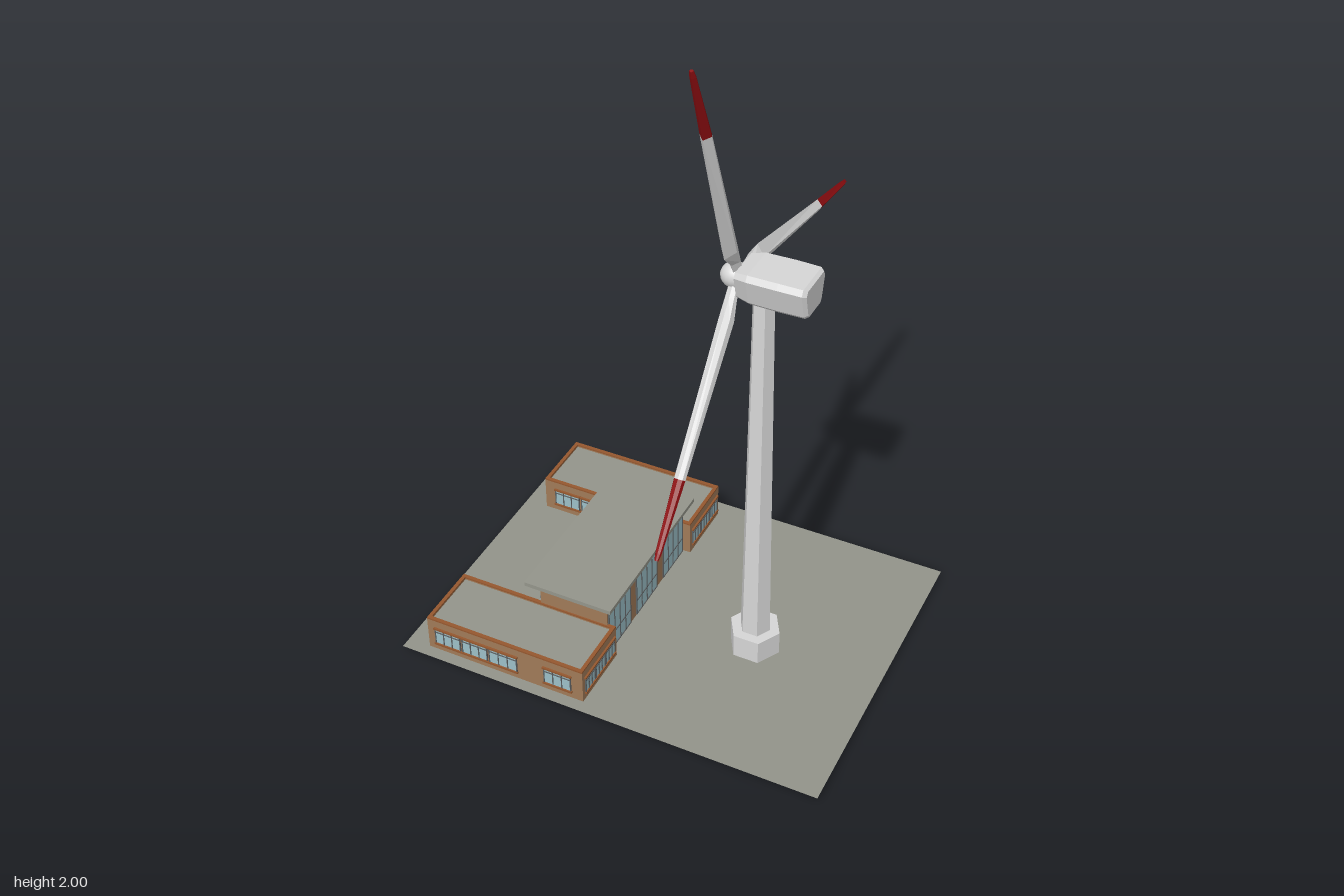
import * as THREE from 'three';

const mat = (name, color, side = THREE.FrontSide) => {
  const m = new THREE.MeshStandardMaterial({ color, side });
  m.name = name;
  return m;
};

// Flat-shaded loft through equal-length loops of points, capped at both ends
function loft(loops) {
  const tris = [];
  const n = loops[0].length;
  for (let i = 0; i < loops.length - 1; i++) {
    for (let j = 0; j < n; j++) {
      const k = (j + 1) % n;
      const [a, b, c, d] = [loops[i][j], loops[i][k], loops[i + 1][k], loops[i + 1][j]];
      tris.push([a, b, c], [a, c, d]);
    }
  }
  const first = loops[0], last = loops[loops.length - 1];
  for (let j = 1; j < n - 1; j++) {
    tris.push([first[0], first[j + 1], first[j]], [last[0], last[j], last[j + 1]]);
  }
  // Signed volume tells whether the faces point outward
  let volume = 0;
  const cross = new THREE.Vector3();
  for (const [a, b, c] of tris) volume += a.dot(cross.crossVectors(b, c));
  const pts = tris.flatMap(([a, b, c]) => (volume < 0 ? [a, c, b] : [a, b, c]));
  const g = new THREE.BufferGeometry().setFromPoints(pts);
  g.computeVertexNormals();
  return g;
}

export function createModel() {
  const model = new THREE.Group();
  model.name = 'windTurbineSite';
  const white = mat('turbineWhite', 0xd6d6d6);
  const red = mat('bladeRed', 0x8c0d10);
  const wall = mat('brickWall', 0xa07a58);
  const trim = mat('brownTrim', 0x96582f);
  const grey = mat('roofGrey', 0x94958b);
  const soil = mat('groundGrey', 0x93948a, THREE.DoubleSide);
  const glass = mat('windowGlass', 0x9cc0c8);
  const frame = mat('windowFrame', 0x5c6062);

  const add = (name, geometry, material, x = 0, y = 0, z = 0, parent = model) => {
    const m = new THREE.Mesh(geometry, material);
    m.name = name;
    m.position.set(x, y, z);
    parent.add(m);
    return m;
  };
  // Box given by its lower and upper corners
  const box = (name, material, x0, x1, y0, y1, z0, z1, parent = model) =>
    add(name, new THREE.BoxGeometry(x1 - x0, y1 - y0, z1 - z0), material,
      (x0 + x1) / 2, (y0 + y1) / 2, (z0 + z1) / 2, parent);

  const ground = add('ground', new THREE.PlaneGeometry(1.31, 0.985), soil, 0, 0.02, 0.0975);
  ground.rotation.x = -Math.PI / 2;

  // ---- Tower: hexagonal foot and shaft ----
  const TX = 0.268, TZ = 0.136;
  const hex = (top, bottom, h) => {
    const g = new THREE.CylinderGeometry(top, bottom, h, 6, 1, true, Math.PI / 2).toNonIndexed();
    g.computeVertexNormals();
    return g;
  };
  add('towerFoot', hex(0.077, 0.077, 0.096), white, TX, 0.048, TZ);
  add('towerFootTop', new THREE.CircleGeometry(0.077, 6), white, TX, 0.096, TZ).rotation.x = -Math.PI / 2;
  add('tower', hex(0.031, 0.046, 1.154), white, TX, 0.673, TZ);

  // ---- Nacelle: tapered section swept along x ----
  const section = [[-0.06, 0.05], [0.06, 0.05], [0.07, 0.034], [0.05, -0.04],
    [0.042, -0.049], [-0.042, -0.049], [-0.05, -0.04], [-0.07, 0.034]];
  const nacelle = [[0.208, 0.84], [0.245, 0.98], [0.33, 1], [0.398, 0.98], [0.408, 0.86]];
  add('nacelle', loft(nacelle.map(([x, s]) =>
    section.map(([z, y]) => new THREE.Vector3(x, y * s, z * s)))), white, 0, 1.293, TZ);

  // ---- Rotor ----
  const rotor = new THREE.Group();
  rotor.name = 'rotor';
  rotor.position.set(0.193, 1.293, TZ);
  model.add(rotor);
  add('hub', new THREE.SphereGeometry(0.036, 20, 14), white, -0.006, 0, 0, rotor).scale.x = 1.12;
  add('hubCollar', new THREE.CylinderGeometry(0.034, 0.034, 0.03, 20), white, 0.015, 0, 0, rotor).rotation.z = Math.PI / 2;

  // Blade sections: radius, leading edge, trailing edge, thickness
  const bladeLoops = rows => loft(rows.map(([r, lead, trail, t]) => {
    const ridge = lead + (trail - lead) * 0.45;
    return [[0, lead], [t * 0.36, lead * 0.7 + ridge * 0.3], [t / 2, ridge], [0, trail],
      [-t / 2, ridge], [-t * 0.36, lead * 0.7 + ridge * 0.3]].map(([x, z]) => new THREE.Vector3(x, r, z));
  }));
  const join = [0.54, -0.012, 0.019, 0.032];
  const inner = bladeLoops([[0.02, -0.016, 0.016, 0.032], [0.062, -0.015, 0.018, 0.034],
    [0.118, -0.014, 0.044, 0.043], join]);
  const tip = bladeLoops([join, [0.735, -0.006, 0.009, 0.018], [0.755, -0.004, 0.006, 0.011]]);
  for (let i = 0; i < 3; i++) {
    const blade = new THREE.Group();
    blade.name = 'blade';
    blade.rotation.x = (20.9 + i * 120) * Math.PI / 180;
    add('bladeInner', inner, white, 0, 0, 0, blade);
    add('bladeTip', tip, red, 0, 0, 0, blade);
    rotor.add(blade);
  }

  // ---- Windows: pane, bars and sills on a wall facing +z before turning ----
  function addWindow(x, z, turn, w, y0, y1, panes, bars, sill) {
    const g = new THREE.Group();
    g.name = 'window';
    g.position.set(x, 0, z);
    g.rotation.y = turn;
    model.add(g);
    box('pane', glass, -w / 2, w / 2, y0, y1, -0.001, 0.002, g);
    for (let i = 0; i <= panes; i++) {
      const bx = -w / 2 + (w * i) / panes;
      box('mullion', frame, bx - 0.0015, bx + 0.0015, y0, y1, 0, 0.004, g);
    }
    for (const y of bars) box('transom', frame, -w / 2, w / 2, y - 0.0015, y + 0.0015, 0, 0.004, g);
    if (sill) {
      for (const y of [y0, y1]) box('sill', trim, -w / 2 - 0.004, w / 2 + 0.004, y - 0.003, y + 0.003, -0.001, 0.006, g);
    }
  }
  const lowWindow = (x, z, turn, w) => addWindow(x, z, turn, w, 0.045, 0.103, 3, [0.09], true);

  // ---- Two low wings with parapets ----
  const X0 = -0.584, X1 = -0.075, DEPTH = 0.204;
  const rim = h => {
    const w = (X1 - X0) / 2, d = DEPTH / 2, t = 0.011;
    const rect = (S, a, b) => new S([[-a, -b], [a, -b], [a, b], [-a, b]].map(p => new THREE.Vector2(...p)));
    const s = rect(THREE.Shape, w, d);
    s.holes.push(rect(THREE.Path, w - t, d - t));
    return new THREE.ExtrudeGeometry(s, { depth: h, bevelEnabled: false }).rotateX(-Math.PI / 2);
  };
  for (const [zc, s] of [[0.453, 1], [-0.241, -1]]) {
    const xc = (X0 + X1) / 2, h = DEPTH / 2;
    box('wingWalls', wall, X0, X1, 0.021, 0.12, zc - h, zc + h);
    box('wingRoof', grey, X0 + 0.01, X1 - 0.01, 0.118, 0.126, zc - h + 0.01, zc + h - 0.01);
    add('parapet', rim(0.01), wall, xc, 0.12, zc);
    add('parapetCap', rim(0.005), trim, xc, 0.13, zc);
    const out = s > 0 ? 0 : Math.PI;
    for (const [a, b] of [[-0.558, -0.476], [-0.468, -0.386], [-0.378, -0.288], [-0.198, -0.113]]) {
      lowWindow((a + b) / 2, zc + s * h, out, b - a);
    }
    for (const x of [-0.505, -0.412]) lowWindow(x, zc - s * h, Math.PI - out, 0.084);
    for (const dz of [-0.06, 0, 0.06]) {
      lowWindow(X1, zc + dz, Math.PI / 2, 0.053);
      lowWindow(X0, zc + dz, -Math.PI / 2, 0.053);
    }
  }

  // ---- Taller central hall with glazed sides and an overhanging roof ----
  box('hallWalls', wall, -0.317, -0.099, 0.021, 0.206, -0.136, 0.358);
  box('hallRoof', grey, -0.355, -0.075, 0.206, 0.219, -0.165, 0.382);
  box('hallRoofEdge', trim, -0.352, -0.078, 0.204, 0.208, -0.162, 0.379);
  for (const z of [-0.063, 0.113, 0.285]) {
    addWindow(-0.099, z, Math.PI / 2, 0.132, 0.026, 0.203, 4, [0.028, 0.08, 0.185], false);
    addWindow(-0.317, z, -Math.PI / 2, 0.132, 0.026, 0.203, 4, [0.028, 0.08, 0.185], false);
  }
  return model;
}
